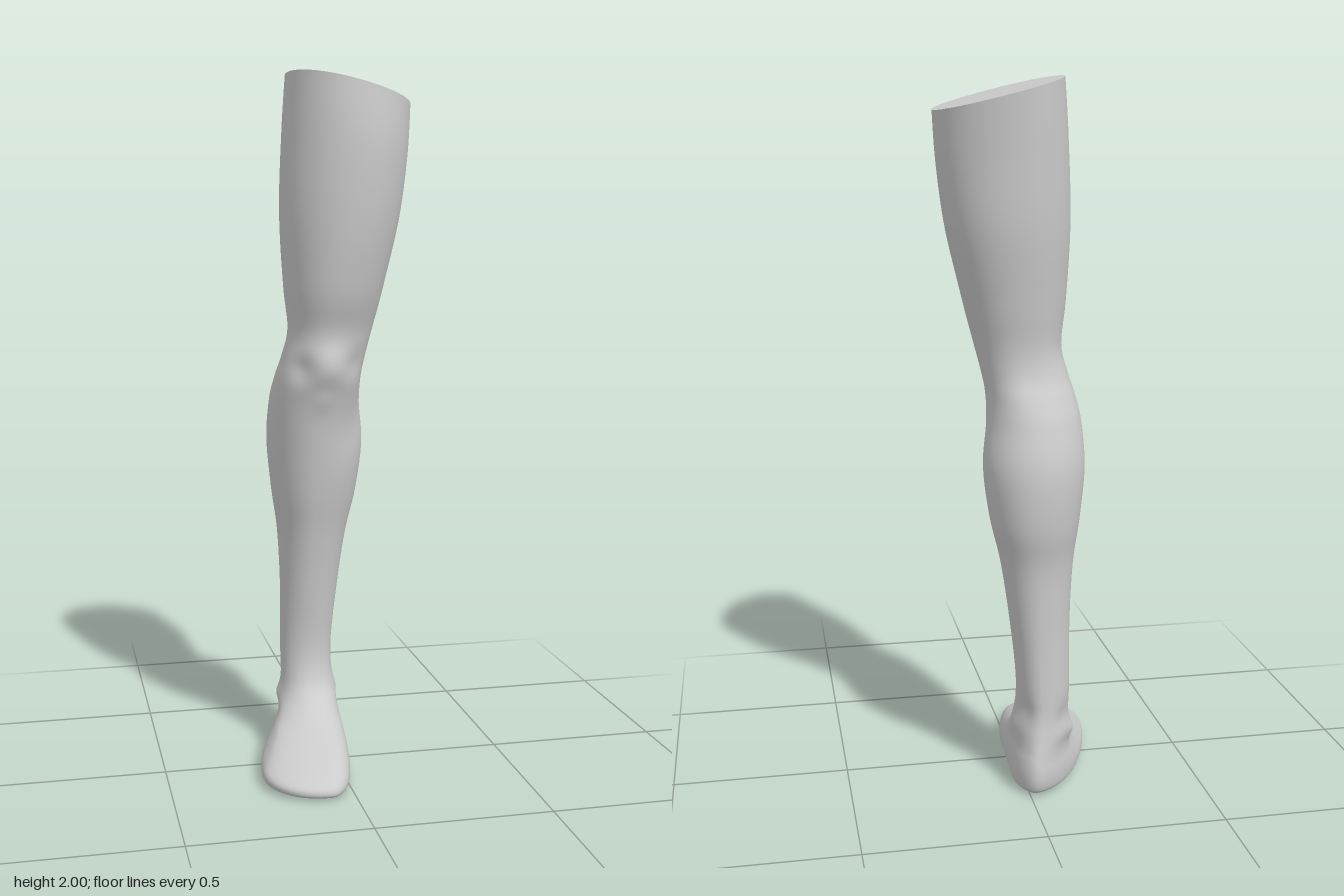
import * as THREE from 'three';

// Cross-sections, top to bottom:
// y, xOuter, xInner, zBack, zFront, x of front ridge, x of back ridge, z of outer side, z of inner side, heel-side squareness
const THIGH = [
  [1.957, -.117, .235, -.29, .134, .05, .04, -.09, -.1, 2.1],
  [1.8, -.13, .225, -.277, .148, .05, .03, -.08, -.1, 2.1],
  [1.6, -.14, .2, -.262, .14, .03, .03, -.07, -.09, 2.1],
  [1.4, -.13, .155, -.228, .11, 0, .02, -.07, -.08, 2.1],
  [1.28, -.118, .125, -.208, .074, -.02, .01, -.07, -.08, 2.2],
  [1.2, -.135, .105, -.215, .074, -.03, 0, -.08, -.09, 2.2],
];
const CALF = [
  [1.14, -.152, .095, -.245, .07, -.035, -.01, -.1, -.1, 2.1],
  [1.07, -.164, .098, -.275, .05, -.04, -.02, -.13, -.12, 2],
  [.95, -.168, .112, -.305, .028, -.045, -.02, -.16, -.15, 2],
  [.8, -.155, .095, -.3, 0, -.05, -.02, -.16, -.16, 2],
  [.67, -.138, .065, -.272, -.03, -.05, -.025, -.16, -.16, 2],
  [.5, -.13, .04, -.26, -.06, -.05, -.03, -.16, -.16, 2],
  [.33, -.13, .022, -.255, -.08, -.05, -.035, -.165, -.16, 2],
];
const FOOT = [
  [.23, -.13, .023, -.256, -.065, -.055, -.035, -.16, -.15, 2],
  [.175, -.138, .028, -.263, -.02, -.055, -.03, -.14, -.13, 1.9],
  [.135, -.152, .032, -.271, .05, -.06, -.025, -.06, -.12, 1.8],
  [.105, -.18, .037, -.277, .135, -.06, -.02, .03, -.13, 1.75],
  [.075, -.21, .04, -.281, .225, -.065, -.02, .1, -.14, 1.7],
  [.045, -.236, .04, -.28, .298, -.075, -.02, .15, -.14, 1.65],
  [.02, -.236, .037, -.272, .31, -.075, -.02, .15, -.14, 1.65],
  [.007, -.215, .022, -.252, .287, -.075, -.02, .14, -.14, 1.65],
];
// Surface relief: x, y, z, radius, height
const RELIEF = [
  [-.03, 1.18, .07, .05, .014],   // kneecap
  [-.1, 1.17, .04, .04, -.012],   // hollows beside the kneecap
  [.05, 1.19, .04, .04, -.008],
  [-.04, 1.08, .05, .03, .006],   // shin head
  [.05, 1.0, -.02, .08, -.014],   // groove between shin and calf
  [-.135, .16, -.17, .03, .01],   // ankle bones
  [.028, .19, -.15, .035, .009],
  [-.11, .22, -.23, .04, -.01],   // hollows beside the heel tendon
  [.01, .24, -.23, .04, -.01],
];
const SEG = 72, SUB = 6;

// Smooth interpolation between neighbouring cross-sections
function blend(rows, t) {
  const i = Math.min(Math.floor(t), rows.length - 2), u = t - i;
  const at = k => rows[Math.max(0, Math.min(rows.length - 1, k))];
  return rows[i].map((b, c) => {
    const a = at(i - 1)[c], d = rows[i + 1][c], e = at(i + 2)[c];
    return b + .5 * u * (d - a + u * (2 * a - 5 * b + 4 * d - e + u * (3 * (b - d) + e - a)));
  });
}

// One ring: four rounded quadrants joining the front, inner, back and outer points
function ring([y0, xl, xr, zb, zf, xFront, xBack, zl, zr, n]) {
  const points = [];
  const cx = (xl + xr) / 2, cz = (zl + zr) / 2;
  for (let j = 0; j < SEG; j++) {
    const a = j / SEG * Math.PI * 2, s = Math.sin(a), c = Math.cos(a);
    const front = c >= 0, inner = s >= 0;
    const p = 2 / (!front && !inner ? n : 2.1);
    const ox = front ? xFront : xBack, oz = inner ? zr : zl;
    let x = ox + ((inner ? xr : xl) - ox) * Math.abs(s) ** p;
    let z = oz + ((front ? zf : zb) - oz) * Math.abs(c) ** p;
    let y = y0;
    // raised muscles, bones and hollows
    let push = 0;
    for (const [bx, by, bz, r, h] of RELIEF)
      push += h * Math.exp(-((x - bx) ** 2 + (y - by) ** 2 + (z - bz) ** 2) / (r * r));
    const len = Math.hypot(x - cx, z - cz) || 1;
    x += push * (x - cx) / len;
    z += push * (z - cz) / len;
    // slanted cut at the top of the thigh
    y += THREE.MathUtils.smoothstep(y0, 1.4, 1.957) * (-.257 * (x - .05) + .03 * (z + .08));
    points.push(new THREE.Vector3(x, y, z));
  }
  return points;
}

// Instep arch, strongest on the inner side
function arch(p) {
  const low = 1 - THREE.MathUtils.smoothstep(p.y, .01, .1);
  const inside = .3 + .7 * THREE.MathUtils.smoothstep(p.x, -.18, 0);
  p.y += .026 * low * inside * Math.exp(-(((p.z + .05) / .09) ** 2));
}

function buildGeometry(rings, closeEnd) {
  const pos = rings.flat().flatMap(p => [p.x, p.y, p.z]), index = [];
  for (let i = 0; i < rings.length - 1; i++)
    for (let j = 0; j < SEG; j++) {
      const k = (j + 1) % SEG, a = i * SEG + j, b = i * SEG + k;
      index.push(a, a + SEG, b, b, a + SEG, b + SEG);
    }
  if (closeEnd) {
    const last = (rings.length - 1) * SEG, centre = pos.length / 3;
    const mid = rings.at(-1).reduce((m, p) => m.add(p), new THREE.Vector3()).divideScalar(SEG);
    pos.push(mid.x, mid.y, mid.z);
    for (let j = 0; j < SEG; j++) index.push(last + j, centre, last + (j + 1) % SEG);
  }
  const g = new THREE.BufferGeometry();
  g.setAttribute('position', new THREE.Float32BufferAttribute(pos, 3));
  g.setIndex(index);
  g.computeVertexNormals();
  return g;
}

export function createModel() {
  const group = new THREE.Group();
  const material = new THREE.MeshStandardMaterial({ color: 0xcccccc });
  const add = (name, geometry) => {
    const mesh = new THREE.Mesh(geometry, material);
    mesh.name = name;
    group.add(mesh);
  };

  // Skin from thigh to sole
  const rows = [...THIGH, ...CALF, ...FOOT];
  const rings = [];
  for (let i = 0; i <= (rows.length - 1) * SUB; i++) rings.push(ring(blend(rows, i / SUB)));

  // Sole: shrinking copies of the lowest ring
  const edge = rings.at(-1), middle = new THREE.Vector3(-.07, .003, .02);
  for (const k of [.1, .25, .4, .55, .7, .85, .95])
    rings.push(edge.map(p => p.clone().lerp(middle, k)));
  rings.forEach(r => r.forEach(arch));
  add('leg', buildGeometry(rings, true));

  // Flat cut across the thigh, with its own sharp edge
  const rim = rings[0].map(p => p.clone());
  const centre = rim.reduce((m, p) => m.add(p), new THREE.Vector3()).divideScalar(SEG);
  add('thighCut', buildGeometry([rim.map(() => centre.clone()), rim], false));

  return group;
}
